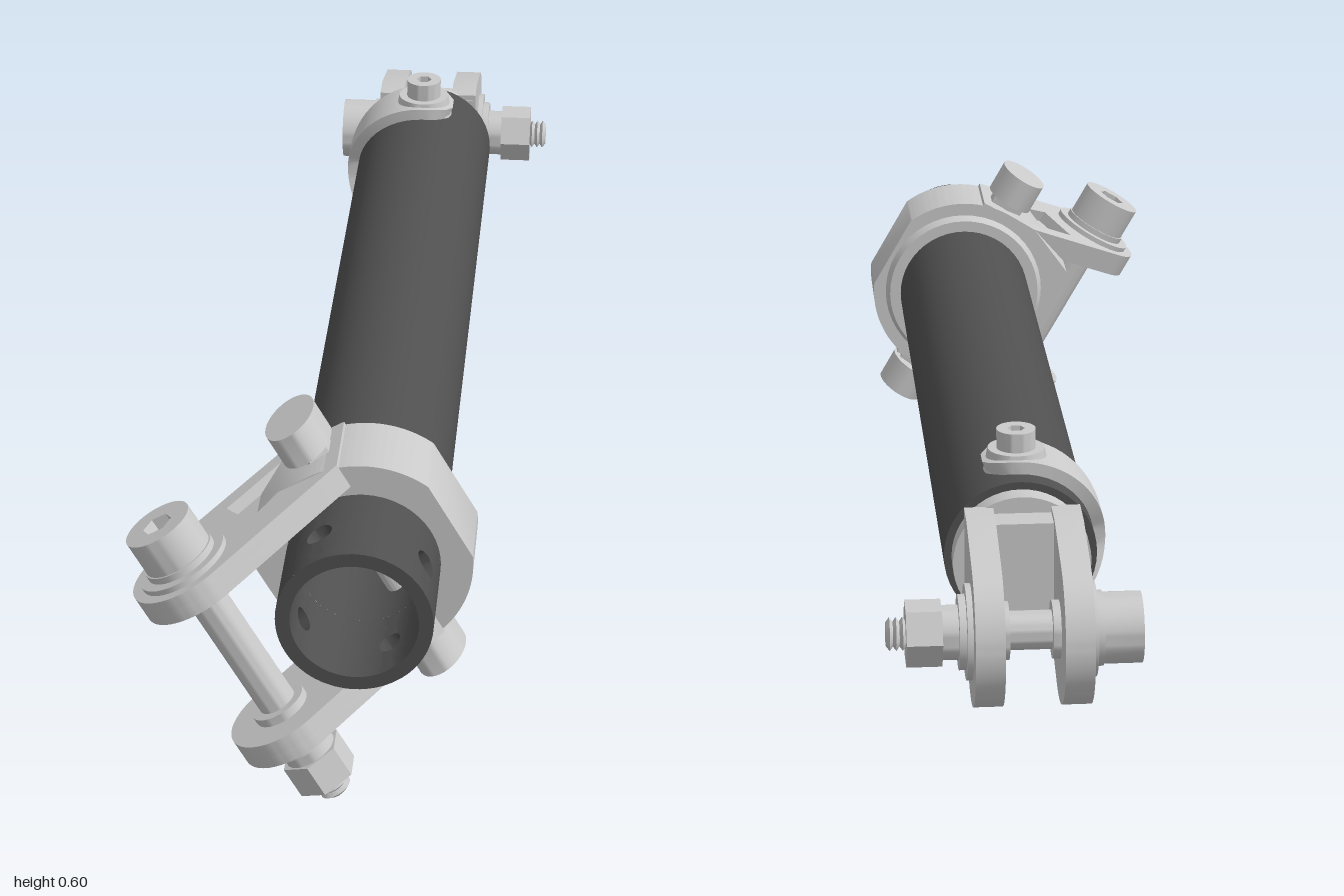
import * as THREE from 'three';
import { toCreasedNormals } from 'three/addons/utils/BufferGeometryUtils.js';
import { ParametricGeometry } from 'three/addons/geometries/ParametricGeometry.js';

const steel = new THREE.MeshStandardMaterial({ color: 0xcacaca, side: THREE.DoubleSide });
steel.name = 'light steel';
const dark = new THREE.MeshStandardMaterial({ color: 0x505050, side: THREE.DoubleSide });
dark.name = 'dark tube';

const CX = 0.0625, CY = 0.373, R_OUT = 0.12, R_IN = 0.098;

function add(parent, name, geo, mat = steel, crease = 0.6) {
  const mesh = new THREE.Mesh(toCreasedNormals(geo, crease), mat);
  mesh.name = name;
  parent.add(mesh);
  return mesh;
}

const extrude = (shape, depth, segs = 20) =>
  new THREE.ExtrudeGeometry(shape, { depth, bevelEnabled: false, curveSegments: segs });

// cylinder along y between two heights
function rod(parent, name, r, y0, y1, sides = 32, rTop = r) {
  const lo = Math.min(y0, y1), hi = Math.max(y0, y1);
  return add(parent, name, new THREE.CylinderGeometry(rTop, r, hi - lo, sides).translate(0, (lo + hi) / 2, 0));
}

// lathe about z from [radius, z] pairs
const latheZ = (pts, segs = 48) =>
  new THREE.LatheGeometry(pts.map(([r, z]) => new THREE.Vector2(r, z)), segs).rotateX(Math.PI / 2);

// straight-sided root blending by tangents into a round eye
function eyeShape(pts, cx, cy, r) {
  const tangent = ([x, y], side) =>
    Math.atan2(y - cy, x - cx) + side * Math.acos(r / Math.hypot(x - cx, y - cy));
  const shape = new THREE.Shape();
  pts.forEach(([x, y], i) => (i ? shape.lineTo(x, y) : shape.moveTo(x, y)));
  shape.absarc(cx, cy, r, tangent(pts[pts.length - 1], 1), tangent(pts[0], -1) + Math.PI * 2, false);
  shape.closePath();
  return shape;
}

// cap head with hexagonal socket, starting at y = 0
function capHead(parent, name, r, h, y) {
  const shape = new THREE.Shape().absarc(0, 0, r, 0, Math.PI * 2);
  const hex = new THREE.Path();
  for (let i = 0; i <= 6; i++) {
    const a = i * Math.PI / 3, x = Math.cos(a) * r * 0.45, z = Math.sin(a) * r * 0.45;
    i ? hex.lineTo(x, z) : hex.moveTo(x, z);
  }
  shape.holes.push(hex);
  add(parent, name, extrude(shape, h, 24).rotateX(-Math.PI / 2).translate(0, y, 0));
  rod(parent, name + 'Floor', r * 0.95, y, y + h * 0.4);
}

// clevis bolt along y; e is the distance to the outer face of the ears
function clevisBolt(e) {
  const g = new THREE.Group();
  g.name = 'clevisBolt';
  rod(g, 'shank', 0.03, -e - 0.08, e + 0.03);
  capHead(g, 'boltHead', 0.055, 0.06, e + 0.02);
  rod(g, 'nutSleeve', 0.042, -e, -e - 0.05);
  rod(g, 'nut', 0.052, -e - 0.045, -e - 0.1, 6);
  const thread = [[0, -e - 0.13], [0.018, -e - 0.13]];
  for (let i = 0; i < 4; i++) {
    thread.push([0.026, -e - 0.124 + i * 0.01], [0.019, -e - 0.119 + i * 0.01]);
  }
  add(g, 'threadTip', new THREE.LatheGeometry(thread.map(p => new THREE.Vector2(...p)), 24), steel, 0.3);
  for (const s of [1, -1]) {
    rod(g, 'earBoss', 0.074, s * (e - 0.005), s * (e + 0.009), 40);
    rod(g, 'washer', 0.058, s * e, s * (e + 0.02));
    rod(g, 'innerSpacer', 0.045, s * (e - 0.057), s * (e - 0.04));
  }
  return g;
}

// quarter of the tube end with a round cross hole in its middle
function drilledQuarter(turn) {
  const half = 0.08, hole = 0.022, n = 8;
  return new ParametricGeometry((u, v, out) => {
    const k = v * (2 * n + 1), outer = k < n + 0.5;
    const t = Math.max(0, outer ? 1 - k / n : (k - n - 1) / n);
    const a = u * Math.PI * 2, c = Math.cos(a), s = Math.sin(a);
    const m = Math.max(Math.abs(c), Math.abs(s));
    const ang = turn + THREE.MathUtils.lerp(c * hole / R_OUT, c / m * Math.PI / 4, t);
    const r = outer ? R_OUT : R_IN;
    out.set(Math.cos(ang) * r, Math.sin(ang) * r, 0.905 + THREE.MathUtils.lerp(s * hole, s / m * half, t));
  }, 48, 2 * n + 1);
}

// strap around one side of the tube, wide at the screws and narrow between
function strapGeometry() {
  const start = 1.17, end = Math.PI * 2 - start;
  return new ParametricGeometry((u, v, out) => {
    const a = start + (end - start) * u;
    const s = (Math.abs(a - Math.PI) - Math.PI / 2) * 0.13;
    const f = Math.min(1, Math.max(0, -s / 0.19));
    const w = s > 0 ? Math.sqrt(Math.max(0.0001, 0.055 ** 2 - s * s)) : 0.055 - 0.035 * f * f;
    const k = Math.round(v * 4) % 4;
    const r = k < 2 ? 0.14 : 0.117;
    out.set(Math.cos(a) * r, Math.sin(a) * r, k === 0 || k === 3 ? -w : w);
  }, 48, 4);
}

export function createModel() {
  const model = new THREE.Group();
  model.name = 'tubeLinkage';

  // main tube
  const tube = new THREE.Group();
  tube.name = 'tube';
  tube.position.set(CX, CY, 0);
  model.add(tube);
  add(tube, 'tubeBody', latheZ([[R_IN, 0.825], [R_IN, -0.7], [R_OUT, -0.7], [R_OUT, 0.825]]), dark);

  // front clevis, turned about the tube
  const front = new THREE.Group();
  front.name = 'frontClevis';
  front.position.set(CX, CY, 0);
  front.rotation.z = Math.PI / 6;
  model.add(front);

  for (let i = 0; i < 4; i++) add(front, 'drilledTubeEnd', drilledQuarter(i * Math.PI / 2), dark);
  add(front, 'tubeRim', new THREE.RingGeometry(R_IN, R_OUT, 48).translate(0, 0, 0.985), dark);

  // clamp collar
  const collar = new THREE.Shape();
  const flat = Math.acos(0.155 / 0.17);
  collar.absarc(0, 0, 0.17, flat, Math.PI / 2, false);
  collar.lineTo(-0.06, 0.168);
  collar.lineTo(-0.155, 0.125);
  collar.lineTo(-0.155, -0.125);
  collar.lineTo(-0.06, -0.168);
  collar.absarc(0, 0, 0.17, -Math.PI / 2, -flat, false);
  collar.closePath();
  collar.holes.push(new THREE.Path().absarc(0, 0, R_OUT, 0, Math.PI * 2, true));
  add(front, 'collar', extrude(collar, 0.135).translate(0, 0, 0.675));
  add(front, 'collarLip', latheZ([[0.118, 0.66], [0.14, 0.66], [0.15, 0.68]]));

  // arms with a recessed pocket on the outside
  const root = [[-0.06, 0.675], [0.05, 0.675], [0.05, 0.81]];
  const armFloor = eyeShape(root, -0.21, 0.905, 0.091);
  const armFrame = eyeShape(root, -0.21, 0.905, 0.091);
  armFrame.holes.push(new THREE.Path([[-0.15, 0.785], [-0.055, 0.71], [-0.045, 0.8], [-0.1, 0.86]]
    .map(p => new THREE.Vector2(...p))));
  for (const s of [1, -1]) {
    const slab = (shape, u0, u1) => extrude(shape, u1 - u0).rotateX(Math.PI / 2)
      .translate(0, s > 0 ? u1 : -u0, 0);
    add(front, 'armFloor', slab(armFloor, 0.125, 0.148));
    add(front, 'armFrame', slab(armFrame, 0.148, 0.168));

    // clamp screw lugs
    const lug = new THREE.Group();
    lug.name = 'clampLug';
    lug.position.z = 0.735;
    front.add(lug);
    rod(lug, 'lugNeck', 0.035, s * 0.155, s * 0.2, 6);
    rod(lug, 'lugHead', 0.043, s * 0.185, s * 0.24).scale.z = 1.5;
  }
  rod(front, 'crossRod', 0.018, -0.17, 0.17, 20).position.z = 0.735;

  const frontBolt = clevisBolt(0.168);
  frontBolt.position.set(-0.21, 0, 0.905);
  front.add(frontBolt);

  // rear clevis
  const rear = new THREE.Group();
  rear.name = 'rearClevis';
  rear.position.x = CX;
  model.add(rear);
  const ear = eyeShape([[-0.73, 0.255], [-0.73, 0.465], [-0.79, 0.463]], -0.88, 0.32, 0.115);
  for (const x of [0.09, -0.045]) {
    add(rear, 'rearEar', extrude(ear, 0.045).rotateY(-Math.PI / 2).translate(x, 0, 0));
  }
  add(rear, 'rearWeb', new THREE.BoxGeometry(0.17, 0.19, 0.055).translate(0, 0.36, -0.755));
  const rearBolt = clevisBolt(0.09);
  rearBolt.rotation.z = Math.PI / 2;
  rearBolt.position.set(0, 0.32, -0.88);
  rear.add(rearBolt);

  // plug inside the tube end, with its flange
  add(tube, 'rearPlug', latheZ([[0, -0.735], [0.108, -0.735], [0.108, -0.7], [0.096, -0.7],
    [0.096, -0.53], [0.08, -0.5], [0.074, -0.5], [0.055, -0.53], [0.055, -0.68], [0, -0.68]]));

  // rear strap and its screws
  add(tube, 'strap', strapGeometry()).position.z = -0.61;
  for (const s of [1, -1]) {
    const screw = new THREE.Group();
    screw.name = 'strapScrew';
    screw.position.z = -0.61;
    if (s < 0) screw.rotation.z = Math.PI;
    tube.add(screw);
    rod(screw, 'screwBoss', 0.052, 0.11, 0.146, 32, 0.045);
    rod(screw, 'screwShank', 0.016, 0.065, 0.15, 16);
    capHead(screw, 'screwHead', 0.031, 0.033, 0.144);
  }
  return model;
}
